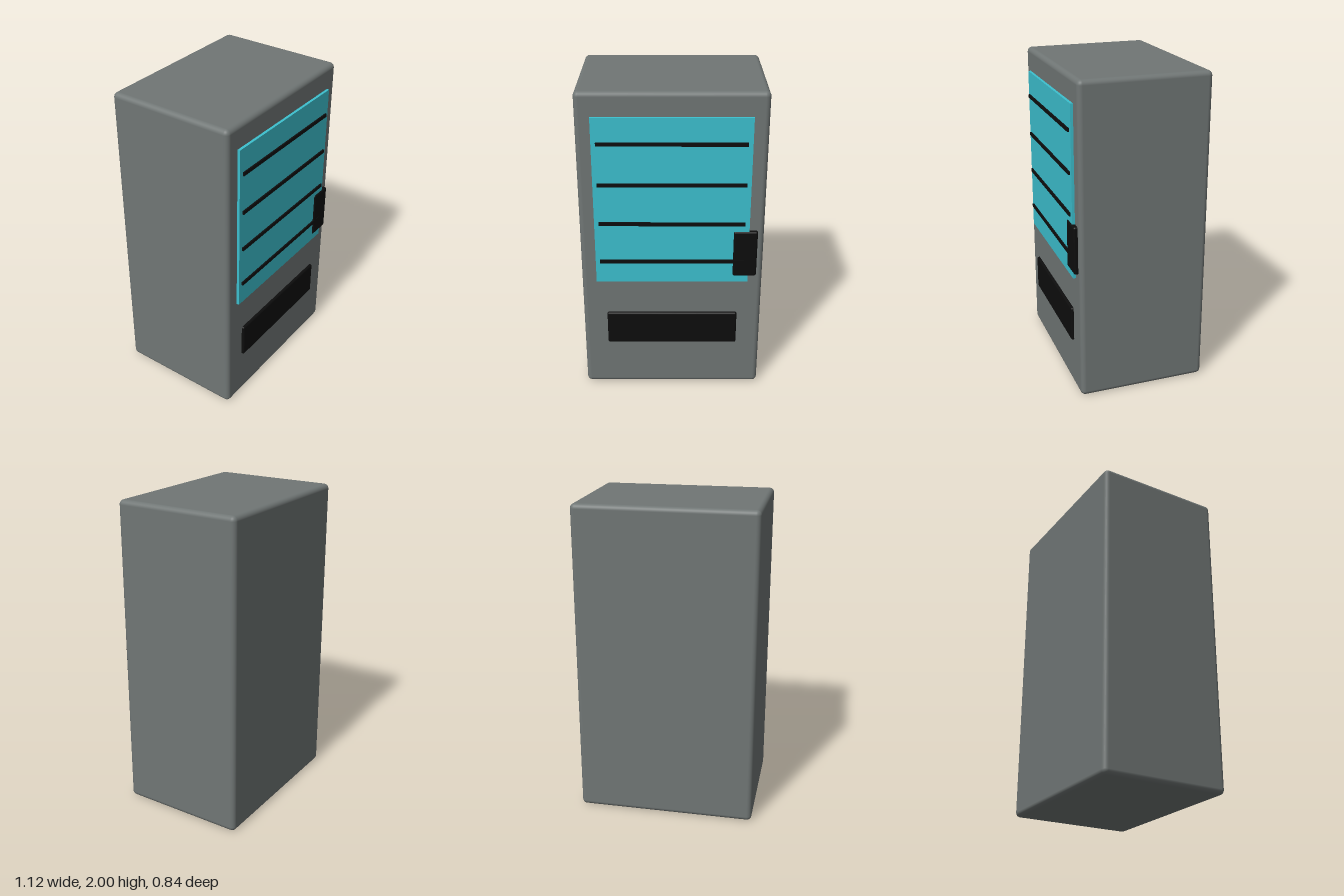
import * as THREE from 'three';
import { RoundedBoxGeometry } from 'three/addons/geometries/RoundedBoxGeometry.js';

const material = (name, color) => {
  const m = new THREE.MeshStandardMaterial({ color });
  m.name = name;
  return m;
};

export function createModel() {
  const model = new THREE.Group();
  model.name = 'vendingMachine';
  const grey = material('cabinetGrey', 0x707675);
  const cyan = material('glassCyan', 0x3cc0cf);
  const black = material('trimBlack', 0x0d0d0d);

  // Box given by its limits on each axis; a radius rounds its edges
  function box(name, mat, [x0, x1], [y0, y1], [z0, z1], radius = 0) {
    const size = [x1 - x0, y1 - y0, z1 - z0];
    const geometry = radius
      ? new RoundedBoxGeometry(...size, 4, radius)
      : new THREE.BoxGeometry(...size);
    const mesh = new THREE.Mesh(geometry, mat);
    mesh.name = name;
    mesh.position.set((x0 + x1) / 2, (y0 + y1) / 2, (z0 + z1) / 2);
    model.add(mesh);
  }

  // Cabinet
  box('cabinet', grey, [-0.562, 0.562], [0, 2], [-0.422, 0.394], 0.03);

  // Display window and its shelves
  box('displayWindow', cyan, [-0.47, 0.47], [0.78, 1.855], [0.38, 0.411]);
  for (let i = 0; i < 4; i++) {
    const y = 0.927 + i * 0.256;
    box('shelf' + (i + 1), black, [-0.443, 0.443], [y - 0.011, y + 0.011], [0.405, 0.421]);
  }

  // Payment panel and collection tray
  box('paymentPanel', black, [0.375, 0.522], [0.825, 1.13], [0.375, 0.419], 0.012);
  box('collectionTray', black, [-0.412, 0.412], [0.322, 0.548], [0.37, 0.411], 0.012);

  return model;
}
